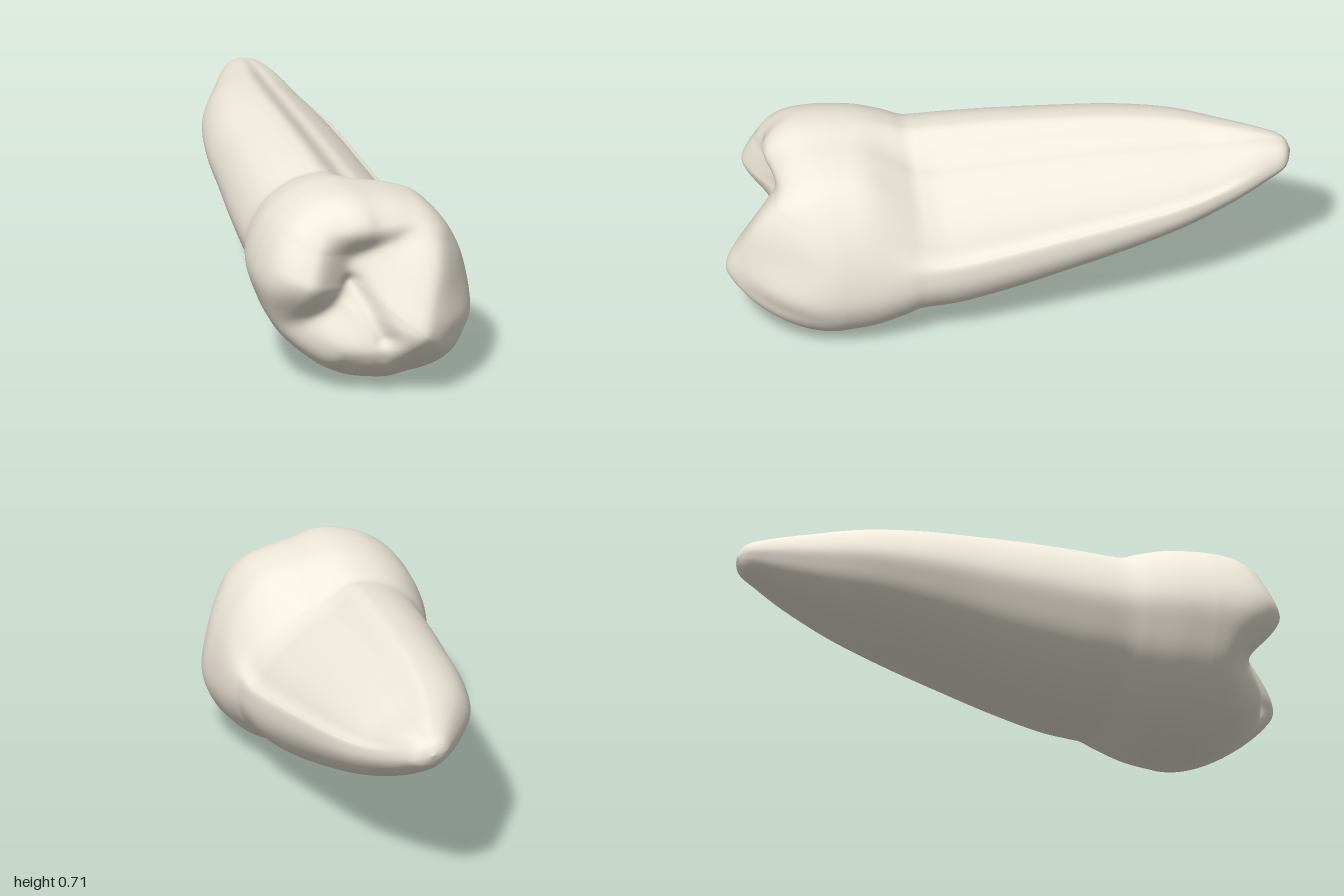
import * as THREE from 'three';
import { mergeVertices } from 'three/addons/utils/BufferGeometryUtils.js';

const SIDES = 144, STEPS = 7, CAP_RINGS = 80;
const CENTRE = [0, 0.36], BELLY_Z = 0.62;
const { smoothstep, clamp } = THREE.MathUtils;

// Widest outline of the crown, anticlockwise seen from the biting end
const OUTLINE = [
  [-0.39, 0.41], [-0.36, 0.3], [-0.31, 0.2], [-0.2, 0.09], [-0.1, 0.03], [0, 0.008],
  [0.1, 0], [0.18, 0.01], [0.26, 0.04], [0.34, 0.11], [0.385, 0.2], [0.39, 0.29],
  [0.36, 0.43], [0.3, 0.55], [0.22, 0.635], [0.13, 0.67], [0.03, 0.69], [-0.08, 0.707],
  [-0.2, 0.685], [-0.3, 0.62], [-0.365, 0.52],
];

// Extents along the tooth: z, xMin, xMax, yMin, yMax
const SECTIONS = [
  [-1, 0.11, 0.11, 0.54, 0.54],
  [-0.975, 0.05, 0.17, 0.49, 0.582],
  [-0.9, 0.0, 0.205, 0.445, 0.605],
  [-0.78, -0.07, 0.25, 0.385, 0.625],
  [-0.6, -0.165, 0.3, 0.31, 0.65],
  [-0.4, -0.22, 0.325, 0.24, 0.665],
  [-0.2, -0.25, 0.34, 0.18, 0.67],
  [0, -0.28, 0.355, 0.125, 0.67],
  [0.18, -0.303, 0.368, 0.087, 0.665],
  [0.29, -0.315, 0.371, 0.077, 0.658],
  [0.34, -0.327, 0.373, 0.072, 0.656],
  [0.4, -0.35, 0.381, 0.048, 0.674],
  [0.5, -0.377, 0.388, 0.015, 0.697],
  [BELLY_Z, -0.39, 0.39, 0, 0.707],
];

// Rounded ridges of the biting surface: start x, y, height, end x, y, height, slope
const RIDGES = [
  [0.13, 0.24, 1.025, 0.24, 0.54, 0.93, 1], // main cusp and its long edge
  [0.13, 0.24, 1.025, 0.03, 0.12, 0.96, 1.1], // main cusp towards the lower edge
  [-0.28, 0.45, 0.92, -0.24, 0.56, 0.88, 1], // left cusp
  [-0.13, 0.16, 0.91, -0.04, 0.16, 0.93, 1], // lower cusp
  [-0.2, 0.62, 0.85, 0.2, 0.62, 0.87, 1.2], // upper margin
  [-0.08, 0.64, 0.87, -0.05, 0.64, 0.87, 1.3], // upper bump
  [0.2, 0.42, 0.9, 0.05, 0.43, 0.83, 0.8], // inner ridge
];
const FLOOR = 0.76, SHARPNESS = 50;

// Nearest point on a segment: its fraction and the offset from it
function offsetFrom(x, y, ax, ay, bx, by) {
  const ex = bx - ax, ey = by - ay;
  const t = clamp(((x - ax) * ex + (y - ay) * ey) / (ex * ex + ey * ey), 0, 1);
  return [t, x - ax - ex * t, y - ay - ey * t];
}

// Smooth maximum of the ridges, with one crease cut into it
function reliefAt(x, y) {
  let sum = Math.exp(SHARPNESS * FLOOR);
  for (const [ax, ay, ah, bx, by, bh, slope] of RIDGES) {
    let [t, dx, dy] = offsetFrom(x, y, ax, ay, bx, by);
    // Fall off more gently on the side of the ridge away from the middle
    const qx = x - dx - CENTRE[0], qy = y - dy - CENTRE[1];
    const pull = (0.75 * Math.max(0, dx * qx + dy * qy)) / (qx * qx + qy * qy);
    dx -= qx * pull;
    dy -= qy * pull;
    const drop = slope * (Math.hypot(dx, dy, 0.05) - 0.05);
    sum += Math.exp(SHARPNESS * (ah + (bh - ah) * t - drop));
  }
  const [, gx, gy] = offsetFrom(x, y, -0.08, 0.4, 0, 0.23);
  return Math.log(sum) / SHARPNESS - 0.04 * Math.exp(-(gx * gx + gy * gy) / 0.0012);
}

// Catmull-Rom blend between neighbouring rows of SECTIONS
function sectionAt(t) {
  const last = SECTIONS.length - 1;
  const i = Math.min(Math.floor(t), last - 1), f = t - i;
  const row = (k) => SECTIONS[clamp(k, 0, last)];
  return SECTIONS[0].map((_, c) => {
    const a = row(i - 1)[c], b = row(i)[c], d = row(i + 1)[c], e = row(i + 2)[c];
    const m0 = (d - a) / 2, m1 = (e - b) / 2;
    return b + m0 * f + (3 * (d - b) - 2 * m0 - m1) * f * f + (2 * (b - d) + m0 + m1) * f ** 3;
  });
}

function rootRing(outline, t) {
  const [z, x0, x1, y0, y1] = sectionAt(t);
  const fade = smoothstep(z, -1, -0.65) * (1 - smoothstep(z, 0.22, 0.56));
  return outline.map((p) => {
    const u = p.x / 0.39, v = (p.y - 0.3535) / 0.3535;
    // Flattened, slightly hollow slope beside the upper ridge of the root
    const slope = 0.24 * smoothstep(u, -0.25, 0.2) + 0.15 * smoothstep(u, 0.2, 0.65);
    const dip = fade * slope * smoothstep(v, -0.2, 0.45);
    return [(x0 + x1) / 2 + (u * (x1 - x0)) / 2, (y0 + y1) / 2 + ((v - dip) * (y1 - y0)) / 2, z];
  });
}

function crownRing(outline, s) {
  return outline.map((p) => {
    const dx = p.x - CENTRE[0], dy = p.y - CENTRE[1];
    const x = CENTRE[0] + dx * s, y = CENTRE[1] + dy * s;
    // Shoulder is squarer towards upper left, rounder towards lower right
    const n = 2.8 - 0.8 * Math.cos(Math.atan2(dy, dx) + 0.7);
    const rise = Math.max(0, 1 - s ** n) ** (1 / n);
    return [x, y, BELLY_Z + (reliefAt(x, y) - BELLY_Z) * rise];
  });
}

function loft(rings) {
  const index = [];
  for (let i = 0; i < rings.length - 1; i++) {
    for (let j = 0; j < SIDES; j++) {
      const k = (j + 1) % SIDES;
      const a = i * SIDES + j, b = i * SIDES + k, c = b + SIDES, d = a + SIDES;
      // The first and last rings are single points
      if (i > 0) index.push(a, b, c);
      else index.push(a, c, d);
      if (i > 0 && i < rings.length - 2) index.push(a, c, d);
    }
  }
  const geometry = new THREE.BufferGeometry();
  geometry.setAttribute('position', new THREE.Float32BufferAttribute(rings.flat(2), 3));
  geometry.setIndex(index);
  const merged = mergeVertices(geometry, 1e-5);
  merged.computeVertexNormals();
  return merged;
}

export function createModel() {
  const curve = new THREE.CatmullRomCurve3(OUTLINE.map(([x, y]) => new THREE.Vector3(x, y, 0)), true);
  const outline = curve.getSpacedPoints(SIDES).slice(0, SIDES);
  const rings = [];

  // Root and neck, from the tip to the widest part of the crown
  const rootSteps = (SECTIONS.length - 1) * STEPS;
  for (let i = 0; i <= rootSteps; i++) rings.push(rootRing(outline, i / STEPS));

  // Rounded shoulder and biting surface, closing in to the centre
  for (let i = 1; i <= CAP_RINGS; i++) rings.push(crownRing(outline, 1 - (i / CAP_RINGS) ** 2.5));

  const tooth = new THREE.Mesh(loft(rings), new THREE.MeshStandardMaterial({ color: 0xf0eadc }));
  tooth.name = 'tooth';
  const group = new THREE.Group();
  group.name = 'molarTooth';
  group.add(tooth);
  return group;
}
